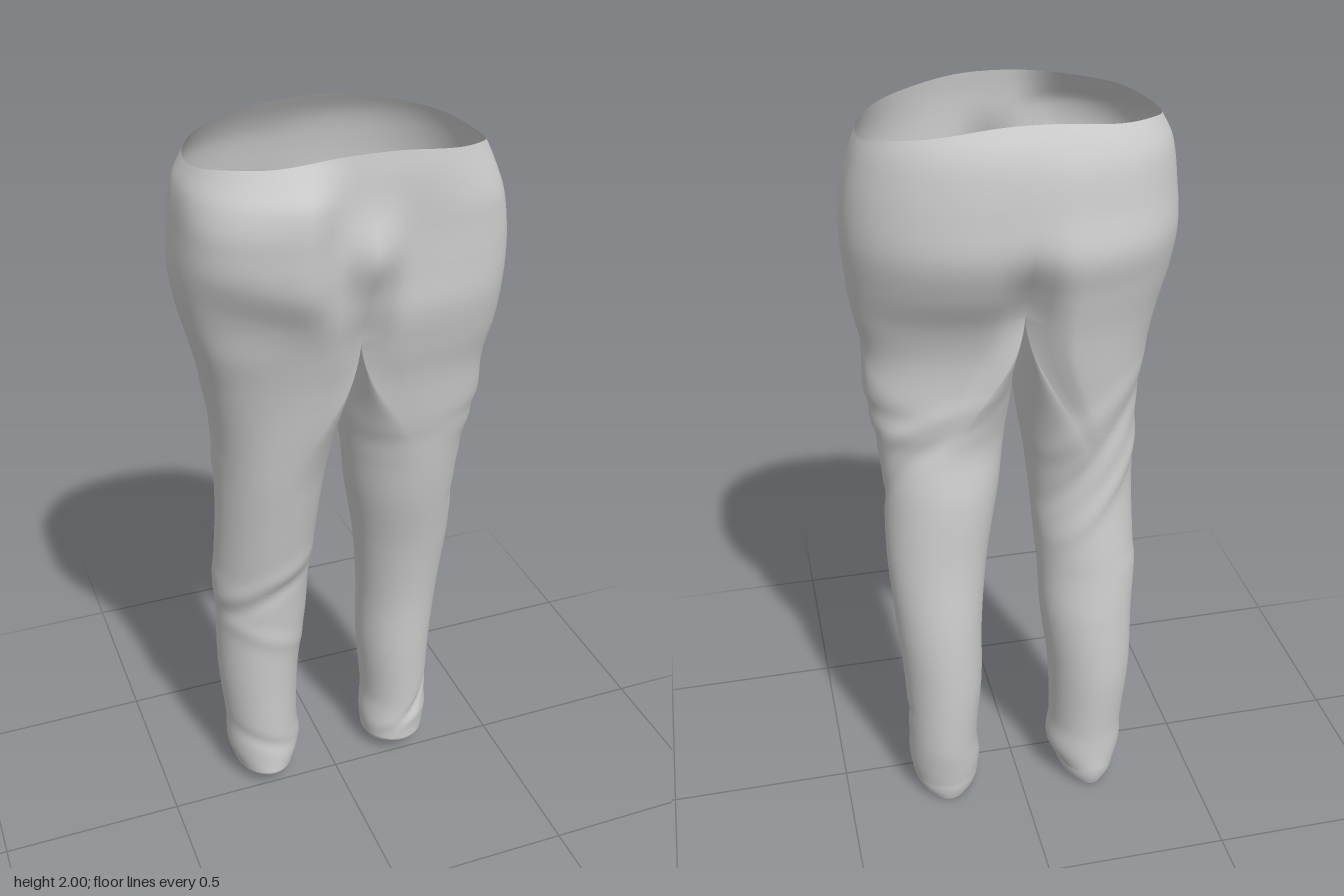
import * as THREE from 'three';
import { mergeGeometries, mergeVertices } from 'three/addons/utils/BufferGeometryUtils.js';

const HALF = 48;          // segments from front centre to back centre
const CROTCH = 1.6;

// Per side: height, outer x, inner x, front z, back z
const SIDES = {
  left: [
    [0.05, 0.305, 0.12, 0.02, -0.18], [0.12, 0.315, 0.115, 0.02, -0.19], [0.2, 0.315, 0.122, 0.02, -0.2],
    [0.4, 0.32, 0.105, 0.03, -0.205], [0.6, 0.335, 0.1, 0.04, -0.2], [0.8, 0.348, 0.078, 0.07, -0.18],
    [1.0, 0.345, 0.04, 0.115, -0.165], [1.14, 0.35, 0.02, 0.14, -0.14], [1.2, 0.367, 0.012, 0.15, -0.14],
    [1.24, 0.367, 0.006, 0.16, -0.14], [1.28, 0.378, 0.002, 0.168, -0.14], [1.4, 0.375, 0, 0.19, -0.15],
    [1.5, 0.395, 0, 0.215, -0.18], [1.6, 0.405, 0, 0.235, -0.235], [1.7, 0.41, 0, 0.235, -0.27],
    [1.8, 0.4, 0, 0.235, -0.268], [1.9, 0.375, 0, 0.24, -0.255], [1.95, 0.355, 0, 0.24, -0.24],
    [2.0, 0.33, 0, 0.235, -0.21]],
  right: [
    [0.05, 0.285, 0.12, 0.025, -0.215], [0.12, 0.305, 0.09, 0.02, -0.212], [0.2, 0.305, 0.098, 0.02, -0.212],
    [0.4, 0.32, 0.09, 0.025, -0.225], [0.6, 0.322, 0.066, 0.035, -0.22], [0.74, 0.33, 0.06, 0.05, -0.205],
    [0.8, 0.325, 0.055, 0.065, -0.2], [1.0, 0.32, 0.04, 0.105, -0.182], [1.2, 0.325, 0.016, 0.145, -0.2],
    [1.4, 0.352, 0, 0.185, -0.238], [1.5, 0.375, 0, 0.21, -0.255], [1.6, 0.4, 0, 0.24, -0.275],
    [1.7, 0.412, 0, 0.288, -0.296], [1.8, 0.405, 0, 0.3, -0.278], [1.9, 0.39, 0, 0.298, -0.26],
    [1.95, 0.365, 0, 0.27, -0.24], [2.0, 0.335, 0, 0.235, -0.21]],
};

// Squareness of the front of the hips, and height of the waist at the side
const FRONT_POWER = { left: 0.52, right: 0.58 };
const SIDE_RIM = { left: 1.945, right: 1.96 };

// Cloth folds on the legs: height, direction, tilt, depth, thickness
const FOLDS = {
  left: [[1.2, 2.4, 0.12, 0.008, 0.03], [1.08, 2.2, 0.15, -0.008, 0.03], [1.38, 1.5, -0.12, 0.006, 0.03],
    [0.2, 0.6, 0.12, -0.008, 0.02], [0.12, 0, 0.03, 0.005, 0.02]],
  right: [[1.25, 2.8, -0.14, 0.009, 0.03], [1.12, 3.0, -0.18, -0.011, 0.03], [1.0, 2.8, -0.16, 0.009, 0.03],
    [0.76, 0.3, -0.08, 0.007, 0.03], [0.7, 0.3, -0.08, -0.007, 0.025], [0.56, 0, 0.06, 0.005, 0.03],
    [0.16, 0, 0.05, -0.006, 0.025]],
};

const bell = (d, w) => Math.exp(-((d / w) ** 2));
const smooth = THREE.MathUtils.smoothstep;
const lerp = THREE.MathUtils.lerp;

// Smooth lookup of column c of a side table at height y
function sample(table, y, c) {
  const n = table.length - 1;
  y = THREE.MathUtils.clamp(y, table[0][0], table[n][0]);
  let i = 0;
  while (i < n - 1 && y > table[i + 1][0]) i++;
  const slope = (k) => {
    const a = table[Math.max(k - 1, 0)], b = table[Math.min(k + 1, n)];
    return (b[c] - a[c]) / (b[0] - a[0]);
  };
  const [p, q] = [table[i], table[i + 1]];
  const h = q[0] - p[0], u = (y - p[0]) / h, u2 = u * u, u3 = u2 * u;
  return p[c] * (2 * u3 - 3 * u2 + 1) + q[c] * (3 * u2 - 2 * u3)
    + h * (slope(i) * (u3 - 2 * u2 + u) + slope(i + 1) * (u3 - u2));
}

// Half outline of the hips: t = 0 at front centre, PI at back centre
function hipPoint(side, y, t) {
  const table = SIDES[side];
  const x = sample(table, y, 1) * Math.max(Math.sin(t), 0) ** 0.8;
  const c = Math.cos(t);
  if (c > 0) {
    // front: flat middle, thigh lobe whose lower edge slants to the crotch, fly bulge and notch
    const lobeY = side === 'right' ? y + 0.3 * (0.2 - x) * smooth(y, 1.5, 1.6) * smooth(1.9 - y, 0, 0.2) : y;
    const depth = lerp(sample(SIDES.left, y, 3), sample(table, lobeY, 3), smooth(x, 0.04, 0.18));
    const power = lerp(FRONT_POWER[side], 0.85, smooth(y, 1.82, 1.97));
    return [x, depth * c ** power + 0.045 * bell(x, 0.06) * bell(y - 1.77, 0.09)
      - 0.045 * bell(x, 0.04) * bell(y - 1.53, 0.12)];
  }
  // back: rounded seat with a cleft in the middle
  const mid = (sample(SIDES.left, y, 4) + sample(SIDES.right, y, 4)) / 2;
  const depth = lerp(mid, sample(table, y, 4), smooth(x, 0, 0.08));
  return [x, depth * Math.abs(c) + 0.06 * bell(x, 0.05) * bell(y - 1.55, 0.13)];
}

// Full leg outline, easing from an oval into half of the hip outline at the crotch
function legPoint(side, y, t) {
  const [xo, xi, zf, zb] = [1, 2, 3, 4].map((c) => sample(SIDES[side], y, c));
  let push = 0;
  for (const [fy, ft, tilt, amp, w] of FOLDS[side]) {
    push += amp * bell(y - fy - tilt * Math.sin(t - ft), w) * Math.max(0, Math.cos(t - ft));
  }
  const x = (xo + xi) / 2 + ((xo - xi) / 2 + push) * Math.sin(t);
  const z = (zf + zb) / 2 + ((zf - zb) / 2 + push) * Math.cos(t);
  let d;
  if (t <= Math.PI) d = hipPoint(side, y, t);
  else {
    const f = hipPoint(side, y, 0)[1], b = hipPoint(side, y, Math.PI)[1];
    d = [0, (f + b) / 2 + (f - b) / 2 * Math.cos(t)];
  }
  const w = smooth(y, 1.08, 1.52);
  return [Math.max(0, lerp(x, d[0], w)), lerp(z, d[1], w)];
}

// Skin a grid of points: point(row, column) gives [x, y, z] for the +x side
function skin(rows, cols, mirror, point) {
  const pos = [], index = [];
  for (let i = 0; i <= rows; i++) {
    for (let j = 0; j <= cols; j++) {
      const [x, y, z] = point(i, j);
      pos.push(mirror * x, y, z);
      if (i === rows || j === cols) continue;
      const a = i * (cols + 1) + j, b = a + 1, d = a + cols + 1, c = d + 1;
      if (mirror > 0) index.push(a, b, c, a, c, d);
      else index.push(a, c, b, a, d, c);
    }
  }
  const g = new THREE.BufferGeometry();
  g.setAttribute('position', new THREE.Float32BufferAttribute(pos, 3));
  g.setIndex(index);
  return g;
}

function finish(geometry, name, material) {
  const g = mergeVertices(geometry, 1e-4);
  g.computeVertexNormals();
  const mesh = new THREE.Mesh(g, material);
  mesh.name = name;
  return mesh;
}

export function createModel() {
  const group = new THREE.Group();
  group.name = 'trousers';
  const cloth = new THREE.MeshStandardMaterial({ color: 0xcccccc, side: THREE.DoubleSide });
  const parts = [];

  for (const [side, mirror] of [['left', 1], ['right', -1]]) {
    // leg tube from cuff to crotch
    const legRows = 90, y0 = 0.06;
    parts.push(skin(legRows, HALF * 2, mirror, (i, j) => {
      const y = y0 + (CROTCH - y0) * i / legRows;
      const [x, z] = legPoint(side, y, Math.PI * j / HALF);
      return [x, y, z];
    }));

    // half of the hips up to the wavy waist opening
    const hipRows = 28;
    parts.push(skin(hipRows, HALF, mirror, (i, j) => {
      const t = Math.PI * j / HALF;
      const rim = lerp(SIDE_RIM[side], 2, Math.cos(t) ** 2) - 0.006 * Math.sin(3 * t) ** 2;
      const y = CROTCH + (rim - CROTCH) * i / hipRows;
      const [x, z] = hipPoint(side, y, t);
      return [x, y, z];
    }));

    // crumpled cuff turned in around the ankle opening
    const cuff = skin(4, HALF * 2, mirror, (i, j) => {
      const t = Math.PI * j / HALF, u = 1 - i / 4;
      const [x, z] = legPoint(side, y0, t);
      const cx = (sample(SIDES[side], y0, 1) + sample(SIDES[side], y0, 2)) / 2;
      const k = 1 - 0.25 * u * u;
      const low = 0.022 + 0.02 * Math.cos(t) + 0.004 * Math.sin(5 * t) * Math.sin(t);
      return [cx + (x - cx) * k, y0 + (low - y0) * u, -0.1 + (z + 0.1) * (1 - 0.12 * u * u)];
    });
    group.add(finish(cuff, side + 'Cuff', cloth));
  }

  group.add(finish(mergeGeometries(parts), 'hipsAndLegs', cloth));
  return group;
}
